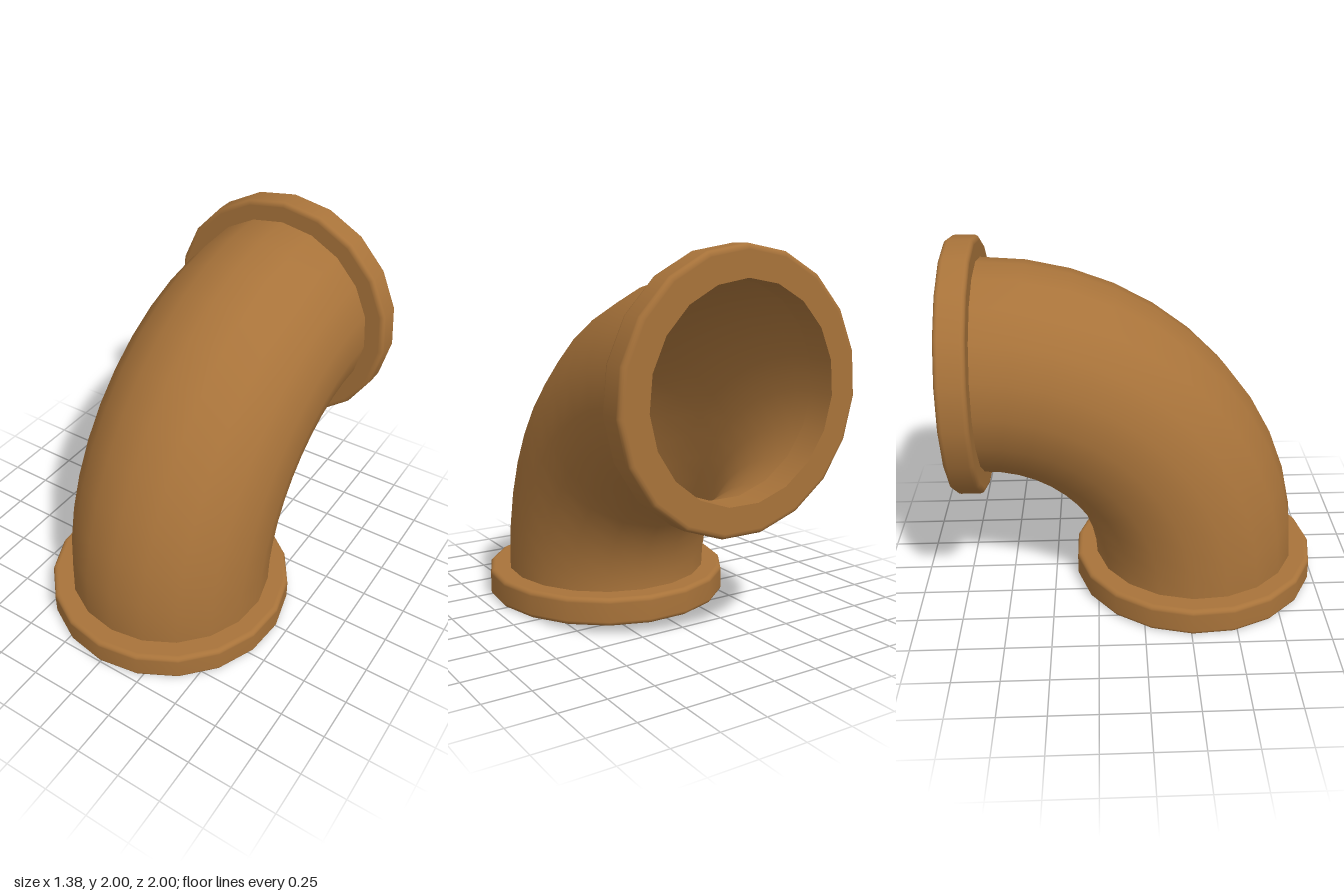
import * as THREE from 'three';

const SIDES = 19;          // sides around the pipe and flanges
const BEND = 1.156;        // radius of the bend's centre line
const PIPE = 0.574;        // pipe radius
const RIM = 0.69;          // flange radius
const HOLE = 0.533;        // flange opening radius
const THICK = 0.153;       // flange thickness
const BEVEL = 0.025;
const BACK = -0.845;       // z of the bend's centre

// Ring with rounded outer edges and a sharp-edged bore
function makeFlange(name, material) {
  const flange = new THREE.Group();
  flange.name = name;
  const profile = [new THREE.Vector2(HOLE, 0)];
  const corner = (y, start) => {
    for (let i = 0; i <= 4; i++) {
      const a = start + (i / 4) * Math.PI / 2;
      profile.push(new THREE.Vector2(RIM - BEVEL + BEVEL * Math.cos(a), y + BEVEL * Math.sin(a)));
    }
  };
  profile.push(new THREE.Vector2(RIM - BEVEL - 0.004, 0));
  corner(BEVEL, -Math.PI / 2);
  corner(THICK - BEVEL, 0);
  profile.push(new THREE.Vector2(RIM - BEVEL - 0.004, THICK), new THREE.Vector2(HOLE, THICK));
  const ring = new THREE.Mesh(new THREE.LatheGeometry(profile, SIDES), material);
  ring.name = name + 'Ring';

  const boreProfile = [new THREE.Vector2(HOLE, THICK), new THREE.Vector2(HOLE, 0)];
  const bore = new THREE.Mesh(new THREE.LatheGeometry(boreProfile, SIDES), material);
  bore.name = name + 'Bore';
  flange.add(ring, bore);
  return flange;
}

export function createModel() {
  const model = new THREE.Group();
  model.name = 'pipeElbow';
  const clay = new THREE.MeshStandardMaterial({ color: 0xa8733a });
  clay.name = 'clayBrown';
  const clayShell = new THREE.MeshStandardMaterial({ color: 0xa8733a, side: THREE.DoubleSide });
  clayShell.name = 'clayBrownShell';

  // Open quarter-turn pipe, from the bottom flange up to the back flange
  const bend = new THREE.TorusGeometry(BEND, PIPE, SIDES, 11, Math.PI / 2);
  bend.rotateY(-Math.PI / 2);
  bend.translate(0, THICK, BACK);
  const pipe = new THREE.Mesh(bend, clayShell);
  pipe.name = 'curvedPipe';
  model.add(pipe);

  // Flanges at both ends
  const bottom = makeFlange('bottomFlange', clay);
  bottom.position.set(0, 0, BACK + BEND);
  const back = makeFlange('backFlange', clay);
  back.rotation.x = -Math.PI / 2;
  back.position.set(0, THICK + BEND, BACK);
  model.add(bottom, back);

  return model;
}
